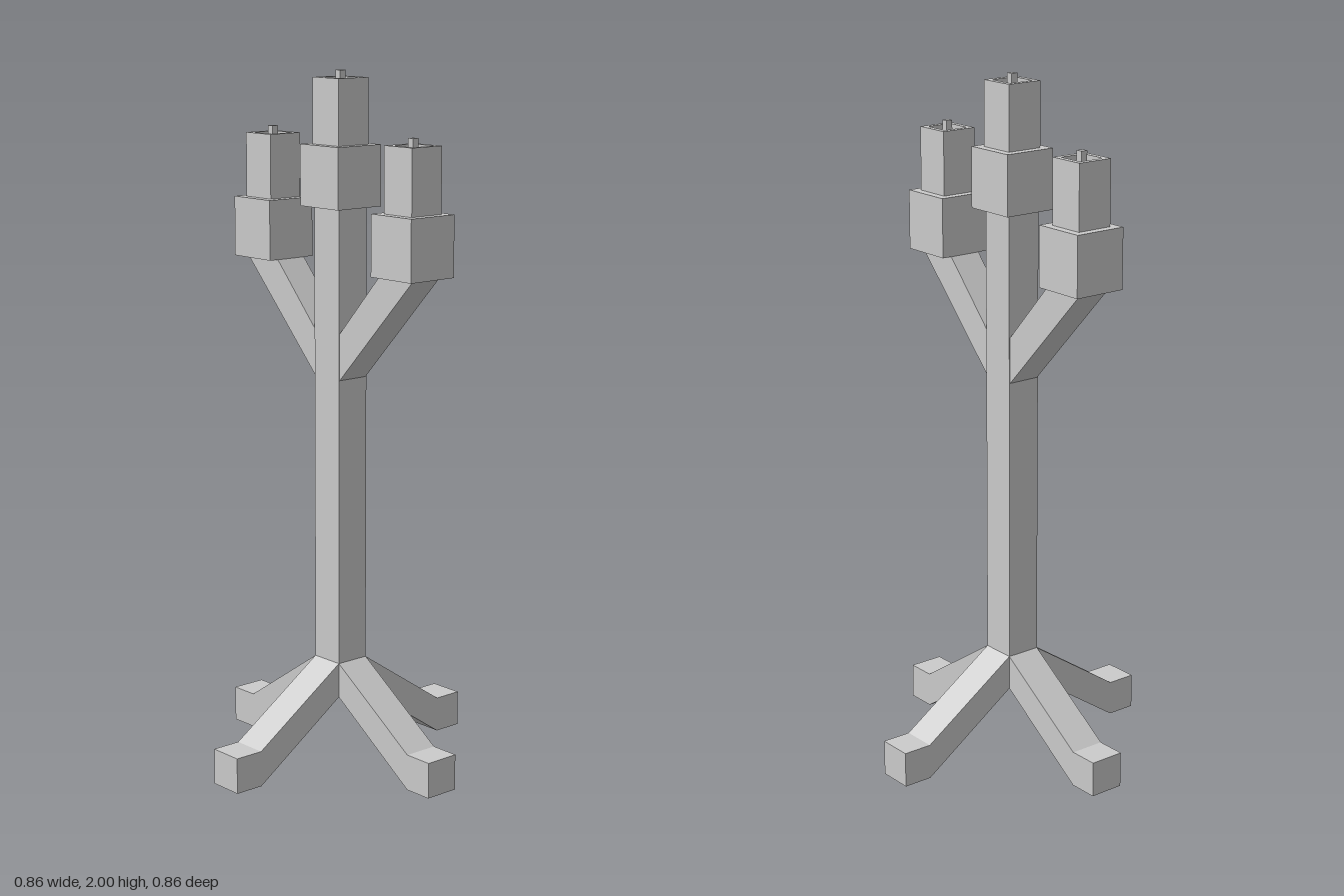
import * as THREE from 'three';

const material = new THREE.MeshStandardMaterial({ color: 0xcccccc, flatShading: true });

function addMesh(parent, name, geometry) {
  const mesh = new THREE.Mesh(geometry, material);
  mesh.name = name;
  parent.add(mesh);
  return mesh;
}

// Square solid turned from [half width, height] points
function squareTurned(points) {
  const profile = points.map(([r, y]) => new THREE.Vector2(r * Math.SQRT2, y));
  return new THREE.LatheGeometry(profile, 4).rotateY(Math.PI / 4);
}

// Side outline given a thickness, centred on z = 0
function slab(points, width) {
  const shape = new THREE.Shape(points.map(([x, y]) => new THREE.Vector2(x, y)));
  return new THREE.ExtrudeGeometry(shape, { depth: width, bevelEnabled: false }).translate(0, 0, -width / 2);
}

export function createModel() {
  const group = new THREE.Group();
  group.name = 'candelabrum';

  // Central post
  addMesh(group, 'post', new THREE.BoxGeometry(0.104, 1.425, 0.104).translate(0, 0.9125, 0));

  // Four sloping legs with block feet
  const leg = slab([[0.05, 0.2], [0.345, 0], [0.432, 0], [0.432, 0.104], [0.345, 0.104], [0.05, 0.302]], 0.104);
  for (let i = 0; i < 4; i++) addMesh(group, 'leg', leg).rotation.y = i * Math.PI / 2;

  // Two rising arms
  const arm = slab([[0.048, 1.132], [0.352, 1.452], [0.218, 1.452], [0.048, 1.265]], 0.098);
  for (let i = 0; i < 2; i++) addMesh(group, 'arm', arm).rotation.y = i * Math.PI;

  // Cups, hollow-topped candles and wicks
  const cup = squareTurned([[0, 0], [0.08, 0], [0.08, 0.173], [0, 0.173]]);
  const candle = squareTurned([[0.055, 0.173], [0.055, 0.358], [0.039, 0.358], [0.039, 0.33], [0, 0.33]]);
  const wick = new THREE.BoxGeometry(0.02, 0.05, 0.02).translate(0, 0.353, 0);
  for (const [x, y] of [[-0.296, 1.452], [0, 1.622], [0.296, 1.452]]) {
    const holder = new THREE.Group();
    holder.name = 'candleHolder';
    holder.position.set(x, y, 0);
    addMesh(holder, 'cup', cup);
    addMesh(holder, 'candle', candle);
    addMesh(holder, 'wick', wick);
    group.add(holder);
  }
  return group;
}
